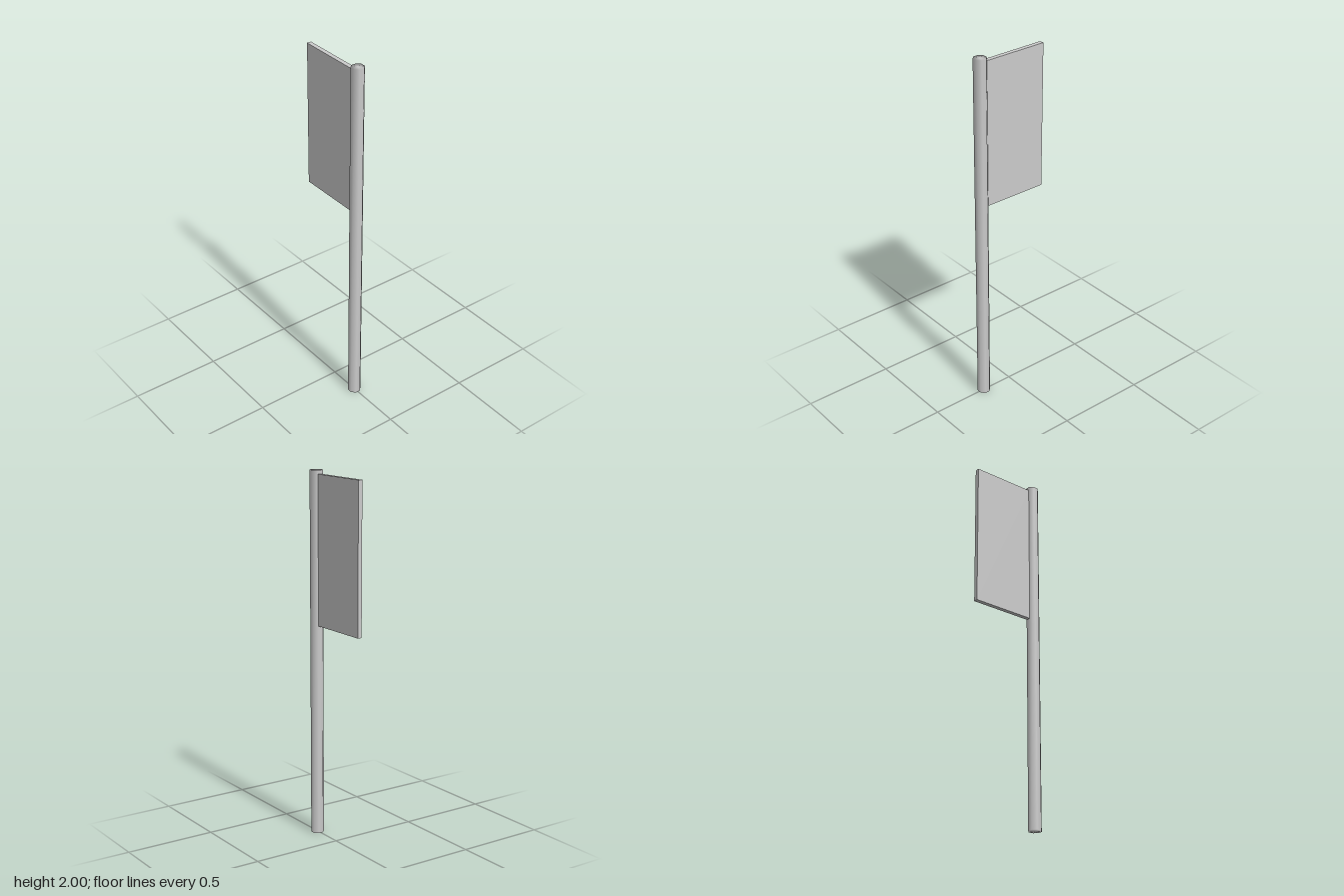
import * as THREE from 'three';
import { mergeVertices } from 'three/addons/utils/BufferGeometryUtils.js';

export function createModel() {
  const model = new THREE.Group();
  const material = new THREE.MeshStandardMaterial({ color: 0xcccccc });

  // Eight-sided pole, flats facing the axes, smooth over every edge
  const apothem = 0.033, poleZ = 0.179;
  const radius = apothem / Math.cos(Math.PI / 8);
  let poleGeometry = new THREE.CylinderGeometry(radius, radius, 2, 8, 1, false, Math.PI / 8);
  poleGeometry.deleteAttribute('normal');
  poleGeometry.deleteAttribute('uv');
  poleGeometry = mergeVertices(poleGeometry);
  poleGeometry.computeVertexNormals();
  const pole = new THREE.Mesh(poleGeometry, material);
  pole.name = 'pole';
  pole.position.set(0, 1, poleZ);
  model.add(pole);

  // Flat banner panel behind the pole, just meeting its rear flat
  const back = -0.212, front = poleZ - apothem + 0.002;
  const bottom = 1.175, top = 1.98;
  const panel = new THREE.Mesh(new THREE.BoxGeometry(0.024, top - bottom, front - back), material);
  panel.name = 'bannerPanel';
  panel.position.set(0, (top + bottom) / 2, (front + back) / 2);
  model.add(panel);

  return model;
}
